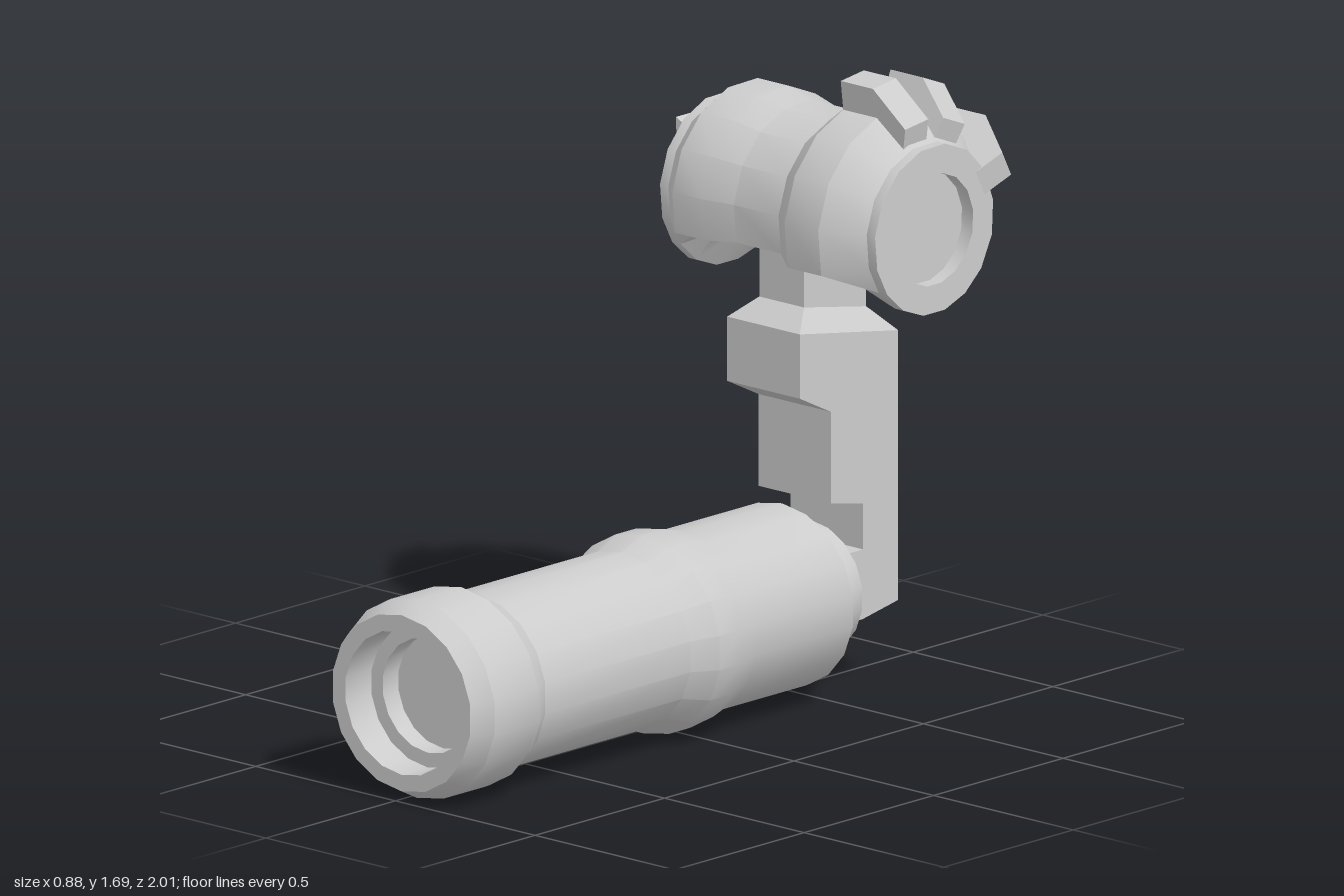
import * as THREE from 'three';
import { toCreasedNormals } from 'three/addons/utils/BufferGeometryUtils.js';

const material = new THREE.MeshStandardMaterial({ color: 0xcccccc });
const V = (x, y, z) => new THREE.Vector3(x, y, z);

function part(name, geometry, crease = 0.45) {
  const mesh = new THREE.Mesh(toCreasedNormals(geometry, crease), material);
  mesh.name = name;
  return mesh;
}

// Skins a list of closed rings, each counter-clockwise about the direction of travel
function loft(rings) {
  const pos = [];
  const n = rings[0].length;
  for (let k = 0; k < rings.length - 1; k++) {
    for (let i = 0; i < n; i++) {
      const j = (i + 1) % n;
      const a = rings[k][i], b = rings[k][j], c = rings[k + 1][j], d = rings[k + 1][i];
      for (const p of [a, b, c, a, c, d]) pos.push(p.x, p.y, p.z);
    }
  }
  const g = new THREE.BufferGeometry();
  g.setAttribute('position', new THREE.Float32BufferAttribute(pos, 3));
  return g;
}

// Extrudes an outline and centres its thickness on z = 0
function slab(points, thickness) {
  const shape = new THREE.Shape(points.map(([x, y]) => new THREE.Vector2(x, y)));
  return new THREE.ExtrudeGeometry(shape, { depth: thickness, bevelEnabled: false })
    .translate(0, 0, -thickness / 2);
}

// Ring of the head: round at the ends, with a flat underside where it bulges
function headRing(x, r) {
  const start = THREE.MathUtils.degToRad(-128), end = THREE.MathUtils.degToRad(107);
  const point = a => V(x, r * Math.cos(a), r * Math.sin(a));
  const ring = [];
  for (let i = 0; i <= 10; i++) ring.push(point(start + (end - start) * i / 10));
  for (let i = 1; i < 6; i++) {
    const t = i / 6;
    ring.push(r > 0.24
      ? point(end).lerp(point(start), t)
      : point(end + (start + Math.PI * 2 - end) * t));
  }
  return ring;
}

export function createModel() {
  const model = new THREE.Group();
  model.name = 'model';

  // Lower barrel with a stepped hollow front
  const barrelProfile = [
    [0, -0.58], [0.18, -0.58], [0.18, -0.53], [0.247, -0.47], [0.247, -0.1],
    [0.27, -0.01], [0.27, 0.07], [0.24, 0.15], [0.24, 0.71], [0.27, 0.77],
    [0.27, 0.94], [0.24, 1], [0.195, 1], [0.195, 0.9], [0.155, 0.9], [0.155, 0.84], [0, 0.84],
  ].map(([r, z]) => new THREE.Vector2(r, z));
  const barrel = part('barrel', new THREE.LatheGeometry(barrelProfile, 18)
    .rotateX(Math.PI / 2).scale(1.04, 1, 1));
  barrel.position.set(0.022, 0.275, 0);
  model.add(barrel);

  // Upright arm, outlined in (-z, y) and extruded across x
  const arm = part('arm', slab([
    [0.58, 0.2], [0.64, 0.195], [0.78, 0.22], [0.78, 0.955], [0.4, 1.02], [0.4, 0.845],
    [0.52, 0.785], [0.52, 0.535], [0.645, 0.51], [0.645, 0.385], [0.58, 0.385],
  ], 0.26).rotateY(Math.PI / 2), 0.1);
  arm.position.x = 0.02;
  model.add(arm);

  // Tapered shoulder and neck joining the arm to the head
  const quad = (x0, x1, zf, zb, yf, yb) =>
    [V(x0, yf, zf), V(x1, yf, zf), V(x1, yb, zb), V(x0, yb, zb)];
  model.add(part('neck', loft([
    quad(-0.11, 0.15, -0.4, -0.78, 1.02, 0.955),
    quad(-0.06, 0.1, -0.47, -0.71, 1.07, 1.025),
    quad(-0.06, 0.1, -0.47, -0.71, 1.23, 1.23),
  ]), 0.1));

  // Head lying across the arm, with a recess in each end
  const head = new THREE.Group();
  head.name = 'head';
  head.position.set(0, 1.31, -0.628);
  model.add(head);
  head.add(part('headBody', loft([
    [-0.31, 0], [-0.31, 0.18], [-0.35, 0.18], [-0.35, 0.23], [-0.32, 0.23],
    [-0.26, 0.28], [-0.15, 0.28], [-0.06, 0.258], [0.1, 0.258], [0.17, 0.31],
    [0.29, 0.31], [0.39, 0.23], [0.42, 0.23], [0.42, 0.152], [0.38, 0.152], [0.38, 0],
  ].map(([x, r]) => headRing(x, r)))));

  // Flared block standing out of the end recess
  head.add(part('endBlock', slab(
    [[-0.43, -0.13], [-0.3, -0.1], [-0.3, 0.09], [-0.44, 0.16]], 0.14), 0.1));

  // Fins around the collar: angle from upright, thickness, outer radius, reach in x
  [[-7, 0.09, 0.385, 0.39], [22, 0.09, 0.38, 0.39], [63, 0.075, 0.405, 0.44]]
    .forEach(([angle, thickness, r, reach]) => {
      const fin = part('fin', slab([
        [0.17, 0.2], [reach - 0.02, 0.2], [reach, 0.29], [0.285, r], [0.17, r],
      ], thickness), 0.1);
      fin.rotation.x = -THREE.MathUtils.degToRad(angle);
      head.add(fin);
    });

  return model;
}
